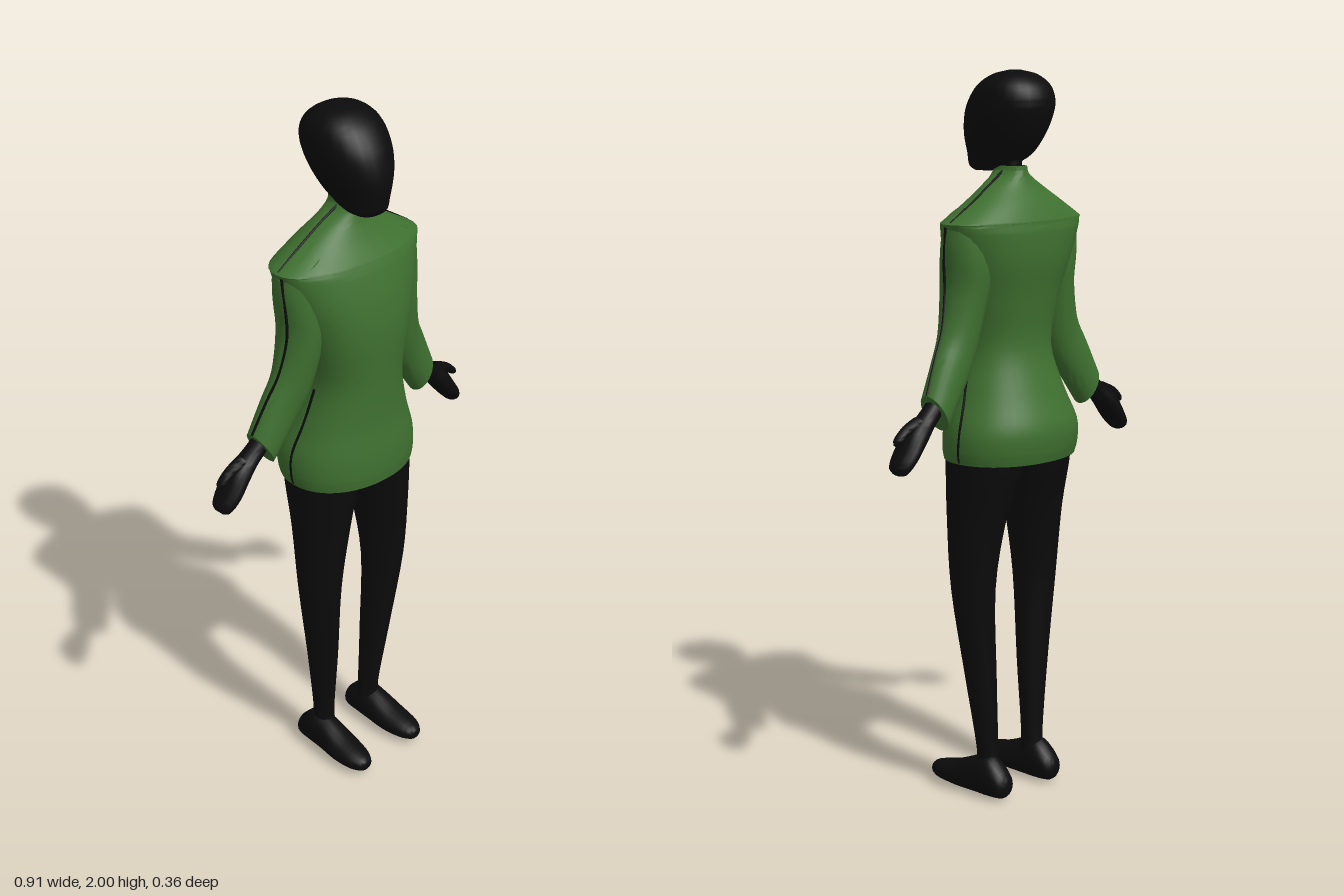
import * as THREE from 'three';
import { toCreasedNormals } from 'three/addons/utils/BufferGeometryUtils.js';

const black = new THREE.MeshStandardMaterial({ color: 0x0b0b0b, side: THREE.DoubleSide });
const green = new THREE.MeshStandardMaterial({ color: 0x3f7030, side: THREE.DoubleSide });

// Smooth skin through rings [x, y, z, halfWidth, halfDepth, tilt], listed from low to high.
function loft(rings, { sides = 28, steps = 4, power = 2, caps = true } = {}) {
  const centres = new THREE.CatmullRomCurve3(rings.map(r => new THREE.Vector3(r[0], r[1], r[2])), false, 'catmullrom', 0.5);
  const sizes = new THREE.CatmullRomCurve3(rings.map(r => new THREE.Vector3(r[3], r[4], r[5] || 0)), false, 'catmullrom', 0.5);
  const rows = (rings.length - 1) * steps;
  const pos = [], idx = [];
  const bend = v => Math.sign(v) * Math.pow(Math.abs(v), 2 / power);
  for (let i = 0; i <= rows; i++) {
    const c = centres.getPoint(i / rows), s = sizes.getPoint(i / rows);
    for (let j = 0; j < sides; j++) {
      const t = j / sides * Math.PI * 2;
      const u = s.x * bend(Math.cos(t)), v = s.y * bend(Math.sin(t));
      pos.push(c.x + u * Math.cos(s.z), c.y + u * Math.sin(s.z), c.z + v);
    }
  }
  for (let i = 0; i < rows; i++) for (let j = 0; j < sides; j++) {
    const k = (j + 1) % sides, a = i * sides + j, b = a + sides, c = i * sides + k, d = c + sides;
    idx.push(a, b, c, b, d, c);
  }
  if (caps) {
    const base = pos.length / 3, top = rows * sides;
    for (const p of [centres.getPoint(0), centres.getPoint(1)]) pos.push(p.x, p.y, p.z);
    for (let j = 0; j < sides; j++) {
      const k = (j + 1) % sides;
      idx.push(base, j, k, base + 1, top + k, top + j);
    }
  }
  const geo = new THREE.BufferGeometry();
  geo.setAttribute('position', new THREE.Float32BufferAttribute(pos, 3));
  geo.setIndex(idx);
  return toCreasedNormals(geo, 0.8);
}

// Upright ring from height, half width, front z and back z.
const slice = (y, w, front, back, x = 0) => [x, y, (front + back) / 2, w, (front - back) / 2, 0];
const mirror = (rings, s) => rings.map(([x, y, z, a, b, t = 0]) => [s * x, y, z, a, b, s * t]);

export function createModel() {
  const model = new THREE.Group();
  const add = (name, geo, mat) => {
    const mesh = new THREE.Mesh(geo, mat);
    mesh.name = name;
    model.add(mesh);
    return mesh;
  };

  add('head', loft([
    slice(1.735, 0.038, 0.10, 0.03), slice(1.748, 0.055, 0.116, -0.01),
    slice(1.78, 0.065, 0.124, -0.075), slice(1.83, 0.085, 0.128, -0.115),
    slice(1.88, 0.10, 0.118, -0.135), slice(1.92, 0.103, 0.10, -0.141),
    slice(1.96, 0.093, 0.068, -0.125), slice(1.988, 0.062, 0.025, -0.088),
    slice(2.0, 0.015, -0.018, -0.045),
  ], { power: 2.15 }), black);

  add('neck', loft([slice(1.66, 0.03, 0.02, -0.05), slice(1.72, 0.027, 0.025, -0.05), slice(1.8, 0.03, 0.04, -0.05)]), black);

  // Jacket body, open at hem and collar, with pointed shoulders
  add('jacketBody', loft([
    slice(0.965, 0.197, 0.138, -0.165), slice(1.0, 0.203, 0.142, -0.174),
    slice(1.06, 0.198, 0.14, -0.176), slice(1.15, 0.165, 0.132, -0.142),
    slice(1.27, 0.137, 0.133, -0.108), slice(1.4, 0.165, 0.14, -0.12),
    slice(1.5, 0.20, 0.13, -0.138), slice(1.58, 0.228, 0.108, -0.141),
    slice(1.605, 0.236, 0.097, -0.135), slice(1.612, 0.232, 0.093, -0.134),
    slice(1.655, 0.16, 0.066, -0.112), slice(1.70, 0.088, 0.045, -0.082),
    slice(1.73, 0.038, 0.04, -0.072), slice(1.75, 0.028, 0.046, -0.07),
  ], { sides: 40, power: 2.15, caps: false }), green);

  const sleeve = [
    [0.30, 1.12, -0.027, 0.057, 0.043, 1.05],
    [0.243, 1.215, -0.02, 0.062, 0.046, 0.81],
    [0.203, 1.29, -0.012, 0.062, 0.053, 0.7],
    [0.174, 1.405, -0.008, 0.06, 0.068, 0.43],
    [0.16, 1.50, -0.012, 0.072, 0.076, 0.1],
    [0.165, 1.63, -0.018, 0.078, 0.062, -0.5],
  ];
  const leg = [
    [0.09, 0.08, -0.015, 0.034, 0.036],
    [0.091, 0.14, -0.015, 0.03, 0.031],
    [0.105, 0.35, -0.003, 0.046, 0.042],
    [0.123, 0.6, 0.007, 0.062, 0.06],
    [0.113, 0.8, 0.003, 0.078, 0.085],
    [0.097, 0.96, -0.01, 0.094, 0.115],
    [0.097, 1.08, -0.01, 0.09, 0.115],
  ];
  // Foot is lofted heel to toe along y, then laid forward: [x, along, -height, ...]
  const foot = [
    [0.098, -0.1, -0.045, 0.012, 0.015],
    [0.098, -0.085, -0.047, 0.034, 0.037],
    [0.098, -0.04, -0.063, 0.042, 0.06],
    [0.098, 0.01, -0.059, 0.045, 0.055],
    [0.10, 0.08, -0.046, 0.049, 0.039],
    [0.102, 0.14, -0.041, 0.041, 0.028],
    [0.102, 0.172, -0.039, 0.024, 0.019],
    [0.102, 0.18, -0.039, 0.008, 0.007],
  ];
  const palm = [
    [0.446, 0.983, -0.032, 0.009, 0.014, 0.8],
    [0.437, 0.992, -0.032, 0.021, 0.032, 0.8],
    [0.41, 1.025, -0.032, 0.026, 0.042, 0.8],
    [0.375, 1.07, -0.032, 0.03, 0.039, 0.8],
    [0.335, 1.105, -0.03, 0.026, 0.029, 0.8],
    [0.285, 1.15, -0.026, 0.025, 0.027, 0.8],
  ];
  const thumb = [
    [0.447, 1.058, -0.03, 0.004, 0.005, 1.1],
    [0.437, 1.067, -0.03, 0.011, 0.013, 1.1],
    [0.405, 1.09, -0.03, 0.014, 0.016, 1.1],
    [0.36, 1.105, -0.03, 0.018, 0.02, 1.1],
  ];
  // Dark openings where the jacket panels meet
  const seams = {
    SleeveSeam: [[0.234, 1.6, -0.005], [0.23, 1.5, 0.005], [0.228, 1.43, 0.005], [0.249, 1.33, -0.005], [0.285, 1.26, -0.015], [0.328, 1.17, -0.027]],
    ShoulderSeam: [[0.03, 1.735, -0.015], [0.088, 1.699, -0.02], [0.16, 1.654, -0.022], [0.23, 1.61, -0.02]],
    SideSeam: [[0.196, 0.97, -0.014], [0.202, 1.0, -0.016], [0.197, 1.06, -0.018], [0.164, 1.15, -0.005], [0.138, 1.25, 0.01]],
  };

  for (const s of [1, -1]) {
    const side = s > 0 ? 'left' : 'right';
    add(side + 'Sleeve', loft(mirror(sleeve, s)), green);
    add(side + 'Leg', loft(mirror(leg, s), { sides: 16 }), black);
    add(side + 'Foot', loft(mirror(foot, s), { sides: 18 }).rotateX(Math.PI / 2), black);
    add(side + 'Hand', loft(mirror(palm, s), { sides: 16 }), black);
    add(side + 'Thumb', loft(mirror(thumb, s), { sides: 12 }), black);
    for (const [name, pts] of Object.entries(seams)) {
      const path = new THREE.CatmullRomCurve3(pts.map(([x, y, z]) => new THREE.Vector3(s * x, y, z)));
      add(side + name, new THREE.TubeGeometry(path, 24, 0.004, 6), black);
    }
  }
  return model;
}
